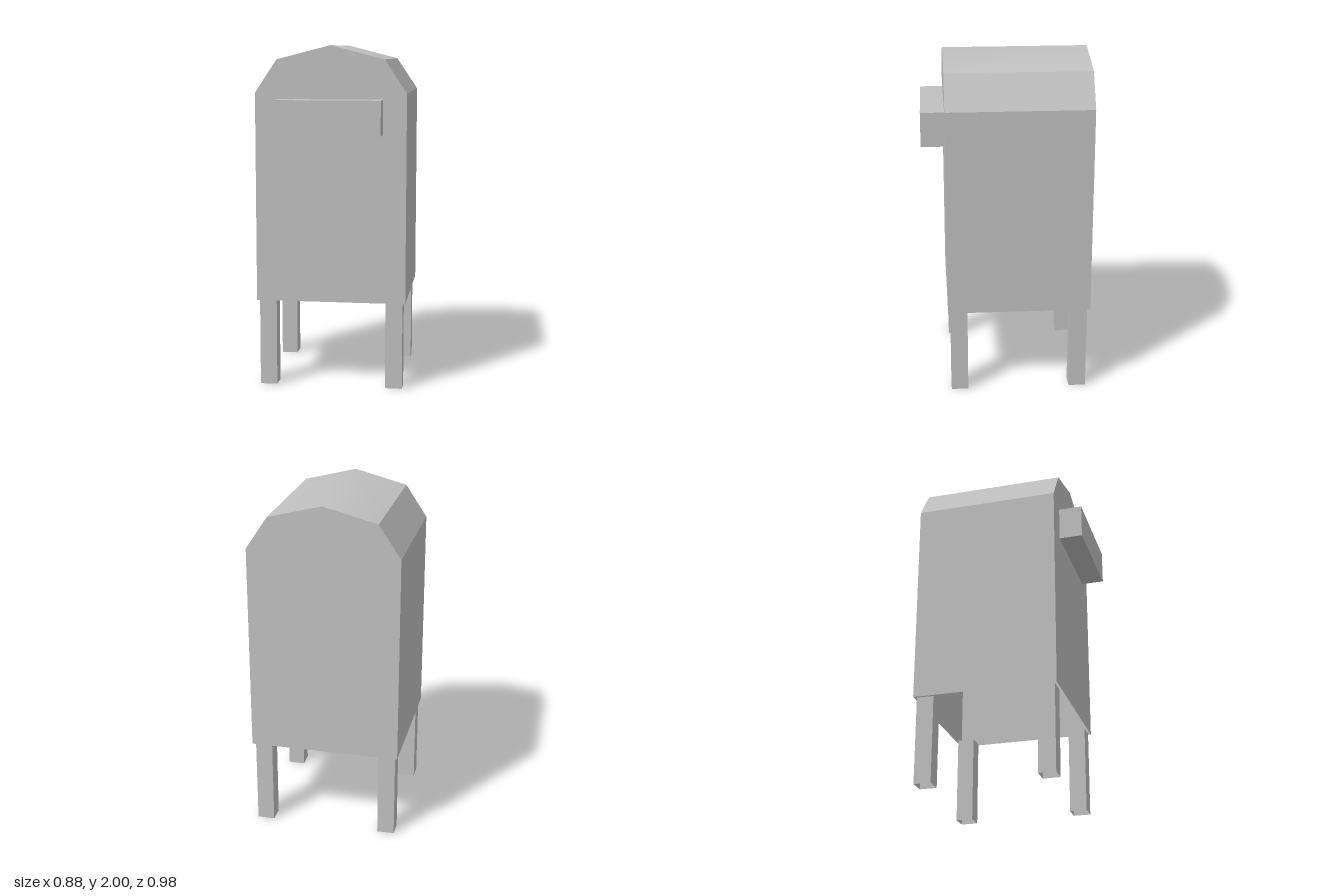
import * as THREE from 'three';
import { toCreasedNormals } from 'three/addons/utils/BufferGeometryUtils.js';

const BACK = -0.488, FRONT = 0.352, BASE = 0.512;

// Outline of the body, from the right foot of the wall over the roof to the left
const OUTLINE = [
  [0.438, BASE], [0.438, 1.73], [0.311, 1.92], [0, 2],
  [-0.311, 1.92], [-0.438, 1.73], [-0.438, BASE],
];

// Side walls and roof as one sheet, open underneath
function shellGeometry() {
  const positions = [];
  for (let i = 0; i < OUTLINE.length - 1; i++) {
    const [ax, ay] = OUTLINE[i], [bx, by] = OUTLINE[i + 1];
    positions.push(
      ax, ay, FRONT, ax, ay, BACK, bx, by, BACK,
      ax, ay, FRONT, bx, by, BACK, bx, by, FRONT,
    );
  }
  const geometry = new THREE.BufferGeometry();
  geometry.setAttribute('position', new THREE.Float32BufferAttribute(positions, 3));
  // Only the shallow ridge is soft; the other folds stay sharp
  return toCreasedNormals(geometry, 0.54);
}

// Square tube without end caps
function legGeometry(width, height) {
  const geometry = new THREE.CylinderGeometry(
    width / Math.SQRT2, width / Math.SQRT2, height, 4, 1, true);
  geometry.rotateY(Math.PI / 4);
  return toCreasedNormals(geometry, 0.5);
}

export function createModel() {
  const model = new THREE.Group();
  model.name = 'mailbox';

  const metal = new THREE.MeshStandardMaterial({ color: 0xc0c0c0, side: THREE.DoubleSide });
  metal.name = 'greyMetal';

  const add = (name, geometry, x = 0, y = 0, z = 0) => {
    const mesh = new THREE.Mesh(geometry, metal);
    mesh.name = name;
    mesh.position.set(x, y, z);
    model.add(mesh);
    return mesh;
  };

  // Body
  add('wallsAndRoof', shellGeometry());
  const panel = new THREE.ShapeGeometry(
    new THREE.Shape(OUTLINE.map(([x, y]) => new THREE.Vector2(x, y))));
  add('frontPanel', panel, 0, 0, FRONT);
  add('backPanel', panel, 0, 0, BACK).rotation.y = Math.PI;

  // Letter hatch on the front
  const depth = 0.488 - FRONT;
  add('letterHatch', new THREE.BoxGeometry(0.606, 0.2, depth), 0, 1.594, FRONT + depth / 2);

  // Four hollow legs
  const leg = legGeometry(0.1, BASE);
  for (const [side, x] of [['Left', 0.371], ['Right', -0.373]]) {
    add('front' + side + 'Leg', leg, x, BASE / 2, 0.288);
    add('back' + side + 'Leg', leg, x, BASE / 2, -0.421);
  }

  return model;
}
